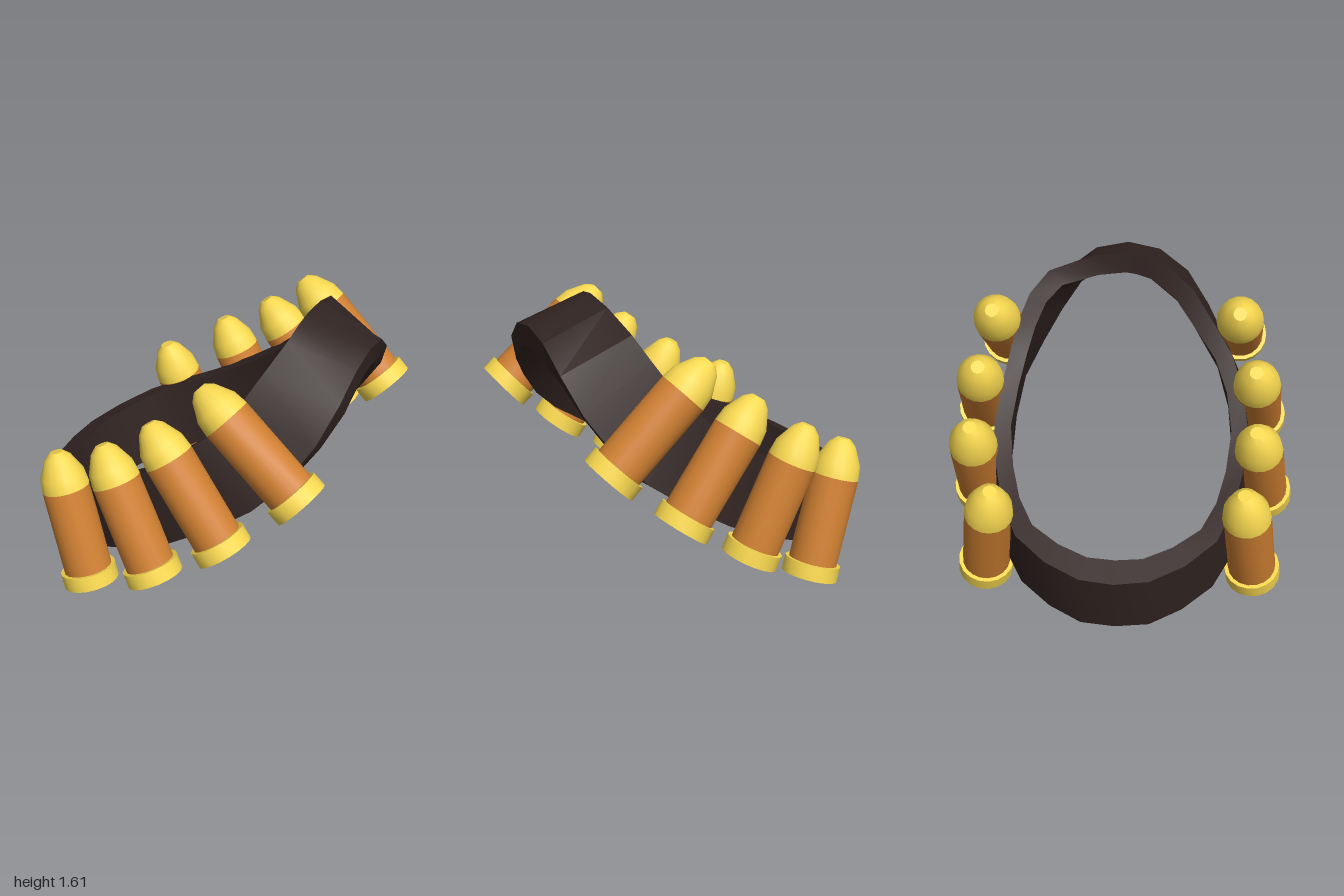
import * as THREE from 'three';
import { toCreasedNormals } from 'three/addons/utils/BufferGeometryUtils.js';

const V = (a) => new THREE.Vector3(...a);
const leather = new THREE.MeshStandardMaterial({ color: 0x312422 });
const brass = new THREE.MeshStandardMaterial({ color: 0xf8d850 });
const copper = new THREE.MeshStandardMaterial({ color: 0xd08032 });

// Half of the strap loop, low end to high end: outer top edge, outer bottom edge
const half = [
  [[-0.94, 0.43, 0], [-0.86, 0.05, 0]],
  [[-0.92, 0.44, 0.19], [-0.84, 0.055, 0.19]],
  [[-0.83, 0.48, 0.38], [-0.75, 0.09, 0.37]],
  [[-0.69, 0.54, 0.55], [-0.61, 0.14, 0.54]],
  [[-0.50, 0.62, 0.64], [-0.40, 0.22, 0.66]],
  [[-0.30, 0.71, 0.69], [-0.16, 0.32, 0.72]],
  [[-0.08, 0.84, 0.72], [0.10, 0.46, 0.75]],
  [[0.12, 0.99, 0.69], [0.35, 0.62, 0.74]],
  [[0.28, 1.13, 0.62], [0.56, 0.78, 0.70]],
  [[0.40, 1.28, 0.50], [0.71, 0.95, 0.60]],
  [[0.48, 1.43, 0.39], [0.82, 1.13, 0.49]],
  [[0.54, 1.55, 0.23], [0.89, 1.32, 0.36]],
  [[0.555, 1.60, 0.11], [0.915, 1.45, 0.19]],
  [[0.56, 1.62, 0], [0.92, 1.49, 0]],
];

// The rear of the high end bulges further out: top edge by station number
const rearTop = {
  8: [0.28, 1.13, -0.65],
  9: [0.38, 1.26, -0.61],
  10: [0.46, 1.39, -0.55],
  11: [0.52, 1.51, -0.44],
  12: [0.55, 1.595, -0.2],
};

// Strap: a rectangular section swept round the closed loop
function strapGeometry() {
  const flip = ([x, y, z]) => [x, y, -z];
  const rear = half.map(([t, b], i) => [rearTop[i] ?? flip(t), flip(b)]).slice(1, -1).reverse();
  const stations = [...half, ...rear].map(([t, b]) => ({ t: V(t), b: V(b) }));
  const n = stations.length;
  const middle = (s) => s.t.clone().add(s.b).multiplyScalar(0.5);
  const rings = stations.map((s, i) => {
    const m = middle(s);
    const tangent = middle(stations[(i + 1) % n]).sub(middle(stations[(i + n - 1) % n]));
    const inward = s.t.clone().sub(s.b).cross(tangent).normalize();
    // thinner along the sides, thicker and slightly skewed at both ends
    const end = 1 - Math.min(1, Math.abs(m.z) / 0.7) ** 2;
    inward.multiplyScalar(0.095 + 0.04 * end);
    if (m.x > 0) inward.x += 0.035 * end;
    else inward.y += 0.03 * end;
    return [s.t, s.b, s.b.clone().add(inward), s.t.clone().add(inward)];
  });
  const pos = [];
  rings.forEach((a, i) => {
    const b = rings[(i + 1) % n];
    for (let k = 0; k < 4; k++) {
      const m = (k + 1) % 4;
      for (const p of [a[k], a[m], b[m], a[k], b[m], b[k]]) pos.push(p.x, p.y, p.z);
    }
  });
  const g = new THREE.BufferGeometry();
  g.setAttribute('position', new THREE.Float32BufferAttribute(pos, 3));
  return toCreasedNormals(g, 0.5);
}

const lathe = (points) => toCreasedNormals(
  new THREE.LatheGeometry(points.map(([r, y]) => new THREE.Vector2(r, y)), 18), 0.5);

// Cartridge parts, base at the origin and pointing up +y
const rimGeo = lathe([[0, 0.025], [0.13, 0.025], [0.13, 0], [0.158, 0], [0.158, 0.085], [0.13, 0.085]]);
const caseGeo = lathe([[0.136, 0.08], [0.136, 0.58]]);
const tipGeo = lathe([[0.136, 0.58], [0.126, 0.66], [0.075, 0.76], [0.038, 0.793], [0, 0.793]]);

function cartridge(base, tip) {
  const g = new THREE.Group();
  g.name = 'cartridge';
  for (const [name, geo, mat] of [['rim', rimGeo, brass], ['case', caseGeo, copper], ['tip', tipGeo, brass]]) {
    const m = new THREE.Mesh(geo, mat);
    m.name = name;
    g.add(m);
  }
  const from = V(base);
  g.position.copy(from);
  g.quaternion.setFromUnitVectors(new THREE.Vector3(0, 1, 0), V(tip).sub(from).normalize());
  return g;
}

// Base centre and tip centre of each cartridge
const placements = [
  [[-0.39, 0.06, 0.775], [-0.625, 0.81, 0.69]],
  [[0.06, 0.285, 0.845], [-0.295, 0.99, 0.755]],
  [[0.46, 0.56, 0.81], [-0.015, 1.20, 0.75]],
  [[0.835, 0.90, 0.69], [0.25, 1.41, 0.655]],
  [[-0.395, 0.06, -0.77], [-0.645, 0.81, -0.68]],
  [[0.025, 0.285, -0.825], [-0.32, 0.99, -0.82]],
  [[0.445, 0.565, -0.84], [-0.03, 1.20, -0.80]],
  [[0.79, 0.86, -0.715], [0.24, 1.40, -0.74]],
];

export function createModel() {
  const model = new THREE.Group();
  model.name = 'cartridgeBelt';
  const strap = new THREE.Mesh(strapGeometry(), leather);
  strap.name = 'strap';
  model.add(strap);
  for (const [base, tip] of placements) model.add(cartridge(base, tip));
  return model;
}
